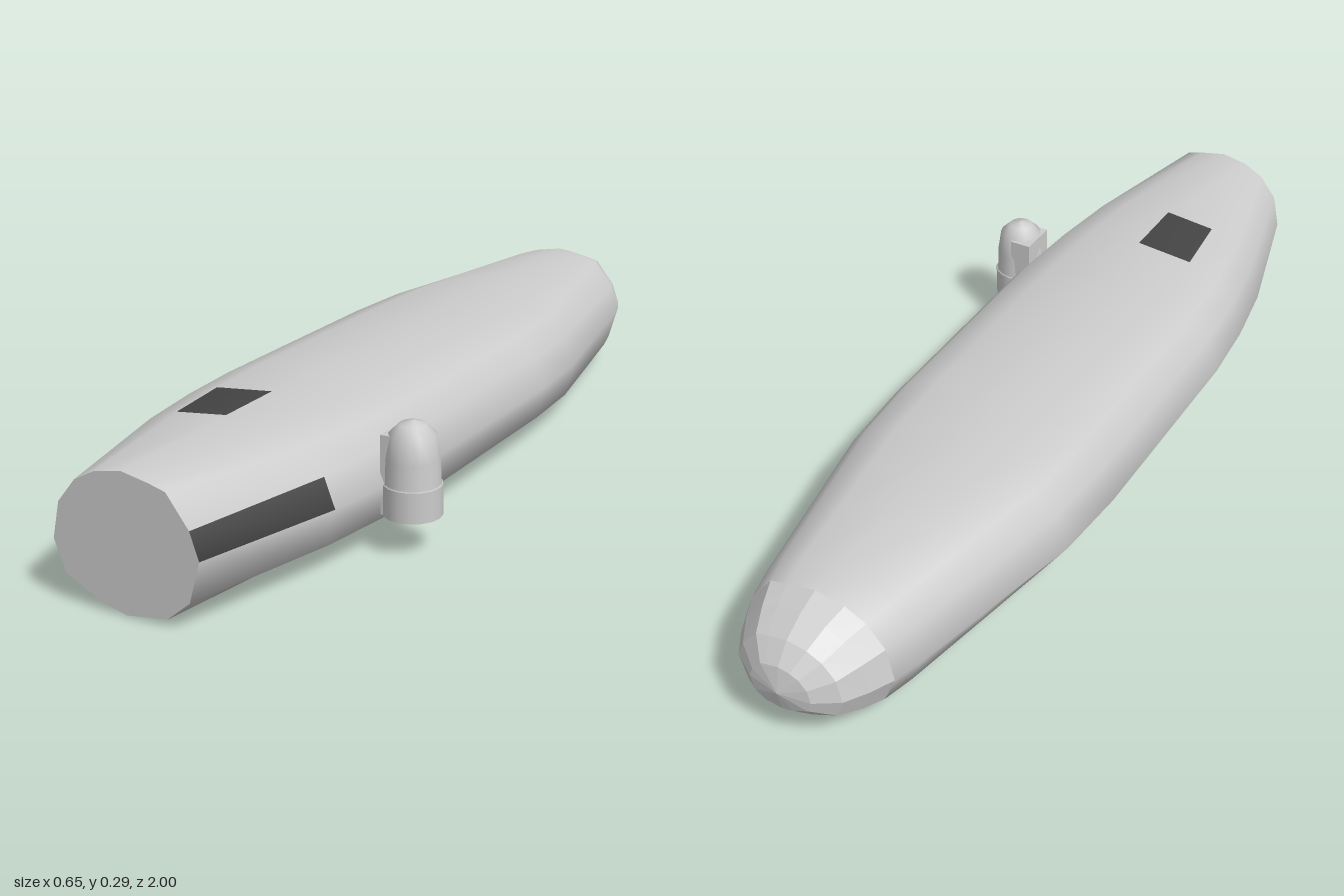
import * as THREE from 'three';

// Hull cross-sections, clockwise seen from the front, starting at the top.
const ROUND = [[-0.04, 0.286], [0.02, 0.274], [0.057, 0.264], [0.105, 0.2], [0.124, 0.145], [0.1, 0.06], [0.05, 0.018],
  [-0.04, 0.005], [-0.1, 0.02], [-0.177, 0.06], [-0.201, 0.125], [-0.185, 0.2], [-0.145, 0.25], [-0.1, 0.274]];
const WIDE = [[-0.04, 0.29], [0.1, 0.277], [0.17, 0.252], [0.21, 0.205], [0.235, 0.14], [0.217, 0.065], [0.12, 0.02],
  [-0.04, 0.003], [-0.2, 0.02], [-0.285, 0.065], [-0.325, 0.12], [-0.3, 0.2], [-0.255, 0.25], [-0.18, 0.277]];
const N = ROUND.length;

// Stations: z, blend from round to wide, scale in x, scale in y.
const HULL = [[1, 0, 1, 1], [0.67, 0.7, 1, 1], [0.51, 0.9, 1, 1], [0.35, 1, 1, 1], [-0.18, 1, 1, 1],
  [-0.36, 0.9, 1, 1], [-0.6, 0.5, 1, 0.99], [-0.78, 0.2, 1, 0.98], [-0.85, 0.05, 1, 0.95]];
const TAIL = [[-0.85, 0.05, 1, 0.95], [-0.9, 0, 0.9, 0.84], [-0.95, 0, 0.72, 0.65], [-0.985, 0, 0.42, 0.38], [-1, 0, 0, 0]];

function ring([z, t, sx, sy]) {
  return ROUND.map(([x, y], j) => {
    const px = THREE.MathUtils.lerp(x, WIDE[j][0], t);
    const py = THREE.MathUtils.lerp(y, WIDE[j][1], t);
    return [-0.045 + (px + 0.045) * sx, 0.145 + (py - 0.145) * sy, z];
  });
}

function quad(i, j) {
  const k = (j + 1) % N;
  const a = i * N + j, b = i * N + k, c = b + N, d = a + N;
  return [a, b, c, a, c, d];
}

function loft(stations) {
  const g = new THREE.BufferGeometry();
  g.setAttribute('position', new THREE.Float32BufferAttribute(stations.flatMap((s) => ring(s).flat()), 3));
  const index = [];
  for (let i = 0; i < stations.length - 1; i++) for (let j = 0; j < N; j++) index.push(...quad(i, j));
  g.setIndex(index);
  g.computeVertexNormals();
  return g;
}

export function createModel() {
  const group = new THREE.Group();
  const grey = new THREE.MeshStandardMaterial({ color: 0xcccccc });
  const flat = new THREE.MeshStandardMaterial({ color: 0xcccccc, flatShading: true });
  const dark = new THREE.MeshStandardMaterial({ color: 0x444444 });

  const add = (name, geometry, material, x = 0, y = 0, z = 0, parent = group) => {
    const mesh = new THREE.Mesh(geometry, material);
    mesh.name = name;
    mesh.position.set(x, y, z);
    parent.add(mesh);
    return mesh;
  };

  // Long hull, with two flush dark panels taking the place of grid faces
  const panels = { topPanel: [1, N - 1], sidePanel: [0, 3] };
  const hull = loft(HULL);
  for (const [name, [i, j]] of Object.entries(panels)) {
    const panel = hull.clone();
    panel.setIndex(quad(i, j));
    add(name, panel, dark);
  }
  const kept = [];
  for (let i = 0; i < HULL.length - 1; i++) {
    for (let j = 0; j < N; j++) {
      if (!Object.values(panels).some(([a, b]) => a === i && b === j)) kept.push(...quad(i, j));
    }
  }
  hull.setIndex(kept);
  add('hull', hull, grey);

  // Faceted rounded tail and flat front face
  add('tail', loft(TAIL), flat);
  const face = new THREE.Shape(ROUND.map(([x, y]) => new THREE.Vector2(x, y)));
  add('frontFace', new THREE.ShapeGeometry(face), grey, 0, 0, 1);

  // Side pod: collar, tapered column, dome and the mount joining it to the hull
  const pod = new THREE.Group();
  pod.name = 'sidePod';
  group.add(pod);
  const px = 0.264, pz = 0.482;
  add('podCollar', new THREE.CylinderGeometry(0.06, 0.06, 0.064, 16), grey, px, 0.112, pz, pod);
  const profile = [[0.06, 0.144], [0.056, 0.146], [0.055, 0.195], [0.048, 0.245], [0.027, 0.266], [0, 0.274]];
  add('podColumn', new THREE.LatheGeometry(profile.map(([r, y]) => new THREE.Vector2(r, y)), 16), grey, px, 0, pz, pod);
  add('podMount', new THREE.BoxGeometry(0.05, 0.165, 0.09), grey, 0.237, 0.1625, 0.474, pod);
  return group;
}
